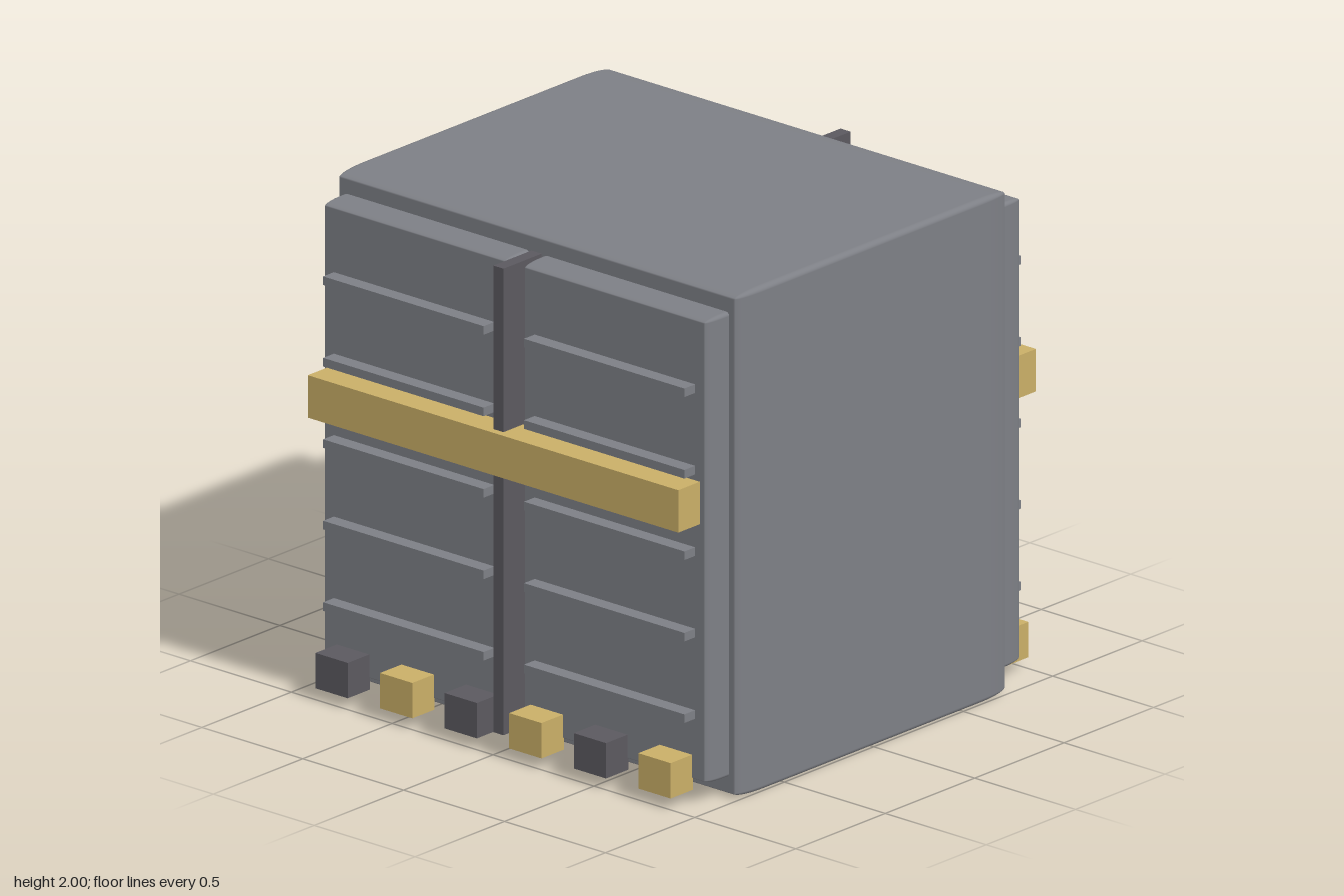
import * as THREE from 'three';
import { RoundedBoxGeometry } from 'three/addons/geometries/RoundedBoxGeometry.js';

const material = (name, color) => {
  const m = new THREE.MeshStandardMaterial({ color });
  m.name = name;
  return m;
};

export function createModel() {
  const grey = material('greyMetal', 0x7d7f85);
  const dark = material('darkMetal', 0x5b595f);
  const gold = material('goldPaint', 0xc9ae67);
  const model = new THREE.Group();
  model.name = 'crate';

  const place = (parent, name, geometry, mat, min, max) => {
    const mesh = new THREE.Mesh(geometry, mat);
    mesh.name = name;
    mesh.position.set(...min.map((v, i) => (v + max[i]) / 2));
    parent.add(mesh);
  };

  // Plain box given by its two opposite corners
  const box = (parent, name, mat, min, max) =>
    place(parent, name, new THREE.BoxGeometry(...max.map((v, i) => v - min[i])), mat, min, max);

  // Box whose edge rounding has a different radius along each axis
  const softBox = (parent, name, mat, min, max, radii) => {
    const size = max.map((v, i) => (v - min[i]) / radii[i]);
    const geometry = new RoundedBoxGeometry(...size, 4, 1).scale(...radii);
    place(parent, name, geometry, mat, min, max);
  };

  // Main body
  softBox(model, 'body', grey, [-1, 0.005, -0.757], [1, 2, 0.757], [0.025, 0.02, 0.15]);

  // The same door assembly on the front and the back
  for (const s of [1, -1]) {
    const end = new THREE.Group();
    end.name = s > 0 ? 'frontDoors' : 'backDoors';
    model.add(end);
    const span = (a, b) => (s > 0 ? [a, b] : [-b, -a]);
    const corners = (x0, x1, y0, y1, a, b) => {
      const [z0, z1] = span(a, b);
      return [[x0, y0, z0], [x1, y1, z1]];
    };

    for (const side of [1, -1]) {
      const xs = (a, b) => (side > 0 ? [a, b] : [-b, -a]);
      // Door leaf
      softBox(end, 'door', grey, ...corners(...xs(0.035, 0.955), 0.085, 1.925, 0.58, 0.88), [0.018, 0.015, 0.1]);
      // Horizontal ribs
      for (let i = 0; i < 5; i++) {
        const y = 0.353 + i * 0.3225;
        box(end, 'rib', grey, ...corners(...xs(0.1, 0.895), y - 0.017, y + 0.017, 0.86, 0.94));
      }
    }

    // Centre post and lock bar
    box(end, 'centrePost', dark, ...corners(-0.025, 0.025, 0.08, 1.927, 0.7, 0.97));
    box(end, 'lockBar', gold, ...corners(-0.918, 0.918, 1.112, 1.28, 0.86, 1));

    // Row of alternating bumper blocks
    for (let i = 0; i < 6; i++) {
      const x = -0.8 + i * 0.32;
      box(end, 'bumperBlock', i % 2 ? gold : dark, ...corners(x - 0.08, x + 0.08, 0.05, 0.19, 0.875, 1));
    }
  }
  return model;
}
